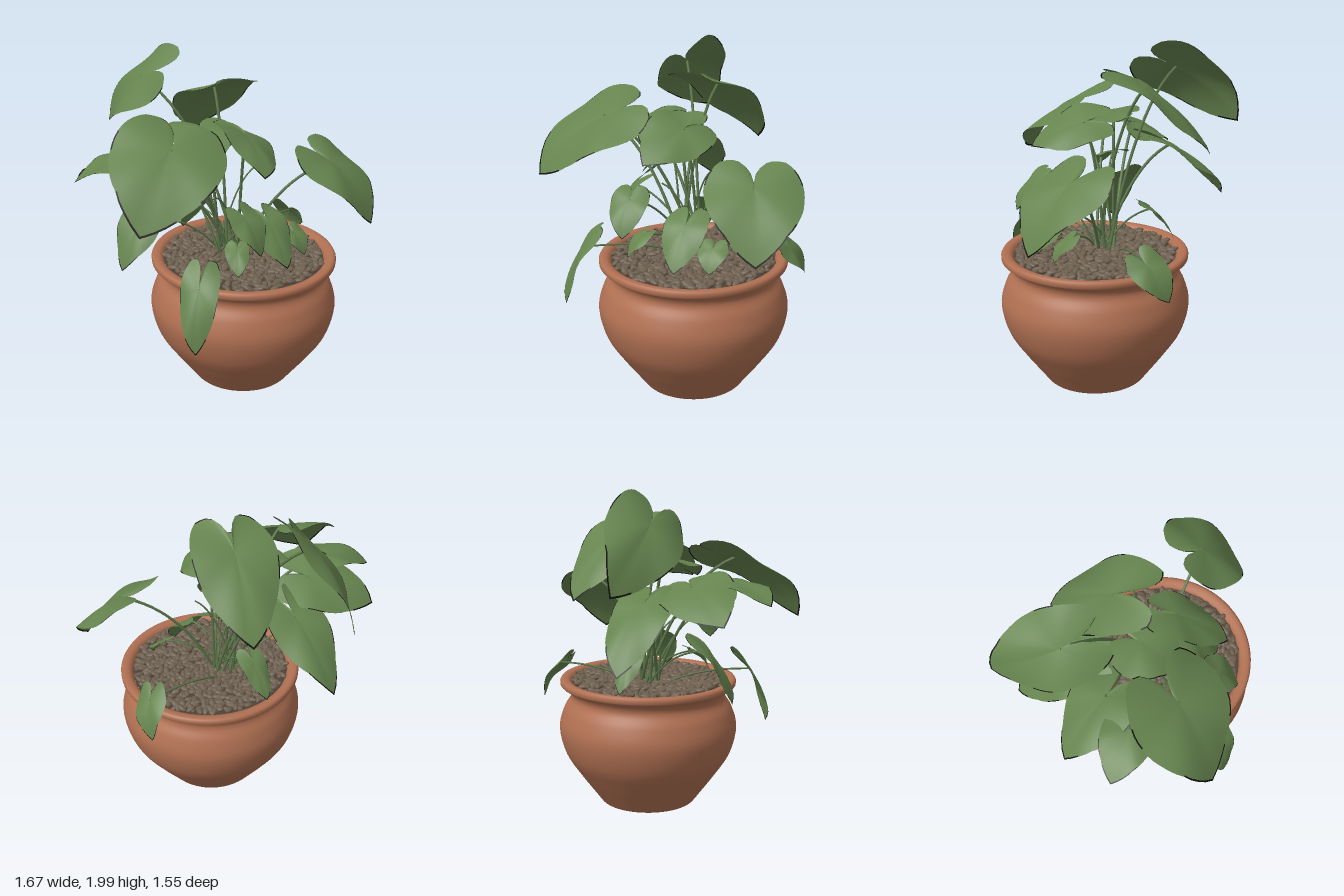
import * as THREE from 'three';
import { mergeGeometries } from 'three/addons/utils/BufferGeometryUtils.js';

const V = (a) => new THREE.Vector3(...a);
const mat = (name, color, side = THREE.FrontSide) => {
  const m = new THREE.MeshStandardMaterial({ color, side });
  m.name = name;
  return m;
};

// small seeded random generator
function seeded(seed) {
  return () => {
    seed = (seed * 1664525 + 1013904223) % 4294967296;
    return seed / 4294967296;
  };
}

// heart outline: [degrees from the tip, radius as a share of the leaf length]
const HEART = [[0, 1], [12, 0.88], [30, 0.74], [50, 0.67], [75, 0.62], [105, 0.6],
  [135, 0.57], [155, 0.48], [170, 0.28], [180, 0.1]];
function heartRadius(angle) {
  const d = Math.abs(angle) * 180 / Math.PI;
  for (let i = 1; i < HEART.length; i++) {
    const [d0, r0] = HEART[i - 1], [d1, r1] = HEART[i];
    if (d <= d1) return r0 + (r1 - r0) * (d - d0) / (d1 - d0);
  }
  return HEART[HEART.length - 1][1];
}

// curved heart leaf spreading from its stalk joint to its tip;
// group 0 is the blade, group 1 the withered patches along the edge
function leafGeometry({ at, tip, width, side }, seed) {
  const joint = V(at), along = V(tip).sub(joint), length = along.length();
  along.normalize();
  const across = side ? V(side) : new THREE.Vector3().crossVectors(along, new THREE.Vector3(0, 1, 0));
  across.addScaledVector(along, -across.dot(along)).normalize();
  const up = new THREE.Vector3().crossVectors(across, along);
  if (up.y < 0) up.negate();

  const rings = 8, steps = 48, positions = [], blade = [], edge = [];
  for (let i = 0; i <= rings; i++) {
    const s = i === rings ? 1 : 0.975 * i / (rings - 1);
    for (let j = 0; j <= steps; j++) {
      const t = -Math.PI + 2 * Math.PI * j / steps;
      const r = s * heartRadius(t);
      const l = r * Math.cos(t), w = r * Math.sin(t) / 0.6;
      const lift = 0.32 * l * (1 - l) - 0.1 * w * w + 0.05 * Math.abs(w)
        + 0.04 * s * s * Math.sin(4 * t + seed);
      const p = joint.clone().addScaledVector(along, l * length)
        .addScaledVector(across, w * width / 2).addScaledVector(up, lift * length);
      positions.push(p.x, p.y, p.z);
      if (i < rings && j < steps) {
        const withered = i === rings - 1 && (Math.abs(t) < 0.3 || Math.sin(5 * t + seed) > 0.5);
        const list = withered ? edge : blade;
        const a = i * (steps + 1) + j, b = a + steps + 1;
        if (i > 0) list.push(a, b, a + 1);
        list.push(a + 1, b, b + 1);
      }
    }
  }
  const g = new THREE.BufferGeometry();
  g.setAttribute('position', new THREE.Float32BufferAttribute(positions, 3));
  g.setIndex([...blade, ...edge]);
  g.addGroup(0, blade.length, 0);
  g.addGroup(blade.length, edge.length, 1);
  g.computeVertexNormals();
  return g;
}

// arching stalk from the crown of the plant
function stemGeometry(end, i, radius) {
  const a = i * 2.4;
  const start = new THREE.Vector3(0.06 + 0.06 * Math.cos(a), 0.76, 0.14 + 0.06 * Math.sin(a));
  const e = V(end), mid = start.clone().lerp(e, 0.38);
  mid.y = start.y + (e.y - start.y) * 0.78 + 0.04;
  return new THREE.TubeGeometry(new THREE.QuadraticBezierCurve3(start, mid, e), 16, radius, 6);
}

const TALL_LEAVES = [
  { at: [-0.19, 1.81, -0.37], tip: [-0.15, 1.46, -0.77], width: 0.46, side: [0.26, 0.3, -0.07] },
  { at: [0.13, 1.75, -0.08], tip: [0.26, 1.35, -0.42], width: 0.48, side: [1, 0, 0.3] },
  { at: [-0.45, 1.58, 0.24], tip: [-0.8, 1.23, 0.42], width: 0.62, side: [0.25, -0.28, 0.52] },
  { at: [0.57, 1.34, 0.47], tip: [0.68, 1.0, 0.73], width: 0.53, side: [0.5, -0.04, -0.2] },
  { at: [-0.12, 1.35, -0.32], tip: [-0.13, 1.0, -0.66], width: 0.36 },
  { at: [-0.35, 1.45, -0.15], tip: [-0.64, 1.27, -0.39], width: 0.44, side: [0.29, -0.2, -0.36] },
  { at: [-0.55, 1.48, -0.03], tip: [-0.82, 1.38, -0.15], width: 0.3 },
  { at: [-0.08, 1.58, 0.05], tip: [-0.2, 1.46, 0.28], width: 0.42 },
  { at: [0.07, 1.56, 0.27], tip: [-0.05, 1.4, 0.55], width: 0.38, side: [0.35, -0.2, 0.1] },
];
const LOW_LEAVES = [
  { at: [-0.47, 0.85, 0.5], tip: [-0.55, 0.5, 0.57], width: 0.22, side: [0.5, 0, 0.8] },
  { at: [0.65, 0.87, 0.06], tip: [0.72, 0.67, -0.05], width: 0.22, side: [0.15, 0.1, 1] },
  { at: [-0.15, 1.19, 0.52], tip: [-0.14, 1.0, 0.64], width: 0.22 },
  { at: [0.14, 1.04, 0.4], tip: [0.14, 0.8, 0.56], width: 0.26 },
  { at: [-0.12, 0.95, 0.42], tip: [-0.18, 0.83, 0.5], width: 0.14 },
  { at: [0.32, 0.94, 0.43], tip: [0.33, 0.82, 0.52], width: 0.17 },
  { at: [-0.42, 1.07, -0.08], tip: [-0.57, 0.77, -0.08], width: 0.27, side: [0.3, 0.1, 0.8] },
  { at: [0.05, 1.0, -0.15], tip: [0.05, 0.8, -0.28], width: 0.17 },
  { at: [-0.1, 1.34, 0.05], tip: [-0.28, 1.22, 0.1], width: 0.15 },
];

export function createModel() {
  const group = new THREE.Group();
  const terracotta = mat('terracotta', 0xb07052);
  const leafGreen = mat('leaf green', 0x66844f, THREE.DoubleSide);
  const witheredEdge = mat('withered edge', 0x11130d, THREE.DoubleSide);
  const stemGreen = mat('stem green', 0x5a7548);
  const pebbleBrown = mat('pebble brown', 0x6e6050);
  const soilBrown = mat('soil brown', 0x4e4338);
  const add = (name, geometry, material, parent) => {
    const m = new THREE.Mesh(geometry, material);
    m.name = name;
    parent.add(m);
    return m;
  };

  // pot with hollow foot, round belly, neck and rolled rim
  const pot = new THREE.Group();
  pot.name = 'pot';
  pot.position.set(0.11, 0, 0.22);
  group.add(pot);
  const toV2 = ([x, y]) => new THREE.Vector2(x, y);
  const foot = [[0, 0.03], [0.26, 0.03], [0.275, 0.004], [0.285, 0], [0.3, 0]].map(toV2);
  const belly = new THREE.SplineCurve([[0.305, 0.005], [0.36, 0.08], [0.44, 0.19], [0.525, 0.325],
    [0.562, 0.48], [0.533, 0.6], [0.492, 0.67], [0.49, 0.71], [0.515, 0.745], [0.545, 0.757]]
    .map(toV2)).getPoints(48);
  const rim = [[0.553, 0.765], [0.554, 0.785], [0.547, 0.797], [0.535, 0.802], [0.51, 0.8],
    [0.49, 0.79], [0.48, 0.77], [0.475, 0.72]].map(toV2);
  add('potBody', new THREE.LatheGeometry([...foot, ...belly, ...rim], 72), terracotta, pot);
  const soil = add('soil', new THREE.CircleGeometry(0.48, 48).rotateX(-Math.PI / 2), soilBrown, pot);
  soil.position.y = 0.77;

  // overlapping pebbles scattered in a sunflower pattern
  const rand = seeded(7), pebbles = [], count = 680;
  for (let i = 0; i < count; i++) {
    const r = 0.465 * Math.sqrt((i + 0.5) / count), a = i * 2.39996 + rand() * 0.1;
    const size = 0.85 + rand() * 0.35;
    const g = new THREE.SphereGeometry(1, 8, 6);
    g.scale(0.034 * size, 0.014 * size, 0.018 * size);
    g.rotateZ((rand() - 0.5) * 0.8);
    g.rotateY(rand() * Math.PI * 2);
    g.translate(r * Math.cos(a), 0.777 + rand() * 0.016, r * Math.sin(a));
    pebbles.push(g);
  }
  add('pebbles', mergeGeometries(pebbles), pebbleBrown, pot);

  // plant: one stalk and one heart leaf each
  const plant = new THREE.Group();
  plant.name = 'plant';
  group.add(plant);
  [...TALL_LEAVES, ...LOW_LEAVES].forEach((leaf, i) => {
    add('leaf', leafGeometry(leaf, i * 1.7), [leafGreen, witheredEdge], plant);
    add('stem', stemGeometry(leaf.at, i, leaf.width > 0.28 ? 0.009 : 0.006), stemGreen, plant);
  });
  // bare young shoots
  [[0.22, 1.32, 0.2], [-0.1, 1.2, 0.2]].forEach((end, i) =>
    add('shoot', stemGeometry(end, i + 20, 0.005), stemGreen, plant));

  return group;
}
